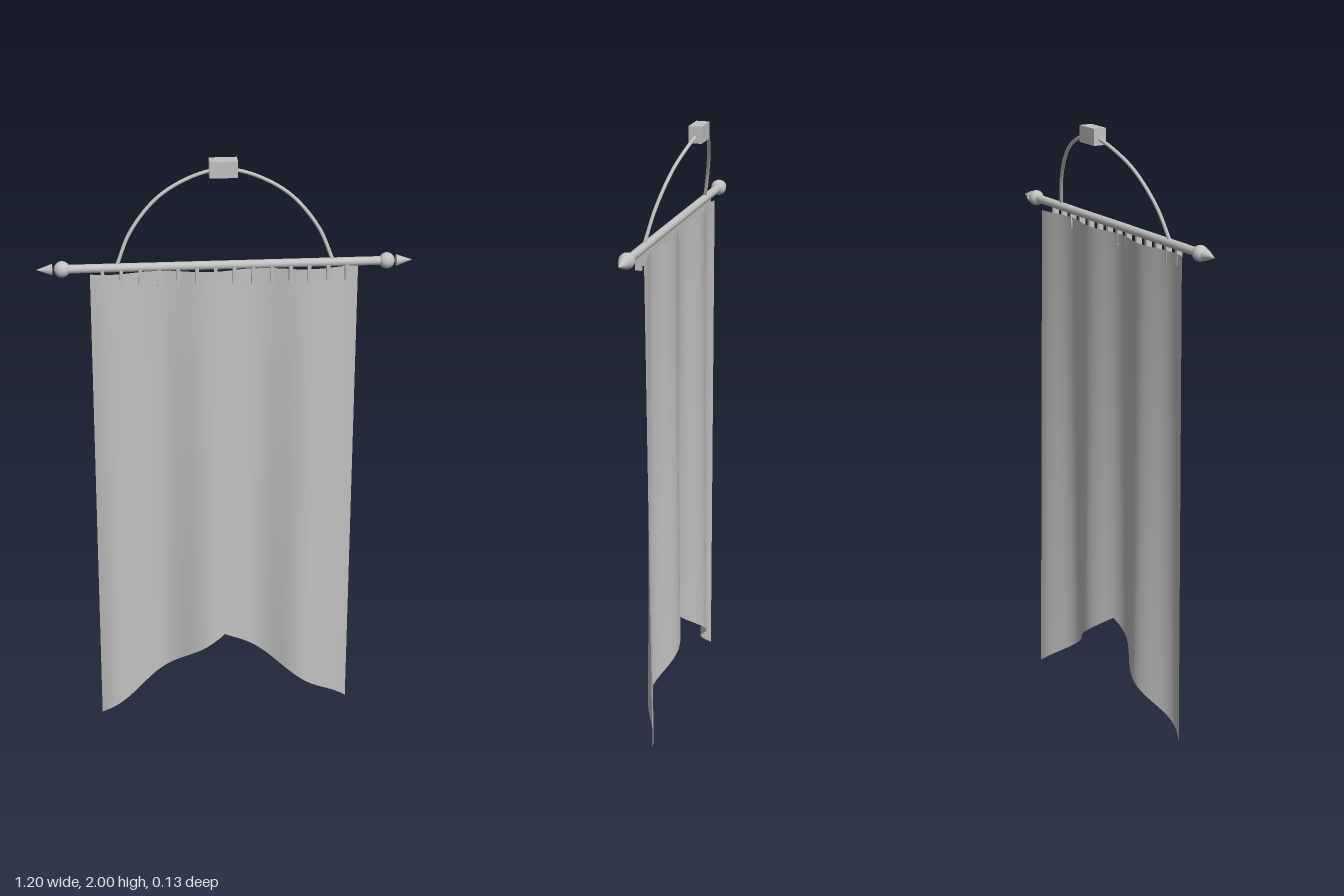
import * as THREE from 'three';

export function createModel() {
  const model = new THREE.Group();
  model.name = 'hangingBanner';
  const metal = new THREE.MeshStandardMaterial({ color: 0xc2c2c2 });
  metal.name = 'light grey';
  const fabric = metal.clone();
  fabric.name = 'grey fabric';
  fabric.side = THREE.DoubleSide;

  const add = (name, geometry, x, y, z, material = metal) => {
    const mesh = new THREE.Mesh(geometry, material);
    mesh.name = name;
    mesh.position.set(x, y, z);
    model.add(mesh);
    return mesh;
  };
  const rodY = 1.675, rodZ = 0.035;

  // Horizontal rod with a ball and a spike at each end
  add('rod', new THREE.CylinderGeometry(0.014, 0.014, 1.02, 16), 0, rodY, rodZ).rotation.z = Math.PI / 2;
  for (const side of [-1, 1]) {
    add('finialBall', new THREE.SphereGeometry(0.026, 20, 14), side * 0.518, rodY, rodZ);
    add('finialSpike', new THREE.ConeGeometry(0.019, 0.052, 16), side * 0.574, rodY, rodZ)
      .rotation.z = -side * Math.PI / 2;
  }

  // Hanging cord, arched up and back to the wall block
  const half = [[0.345, 1.68, 0.035], [0.3, 1.785, 0.012], [0.215, 1.885, -0.015], [0.12, 1.94, -0.034], [0.03, 1.966, -0.043]];
  const path = [...half.map(([x, y, z]) => [-x, y, z]), ...[...half].reverse()]
    .map((p) => new THREE.Vector3(...p));
  add('cord', new THREE.TubeGeometry(new THREE.CatmullRomCurve3(path), 64, 0.006, 8), 0, 0, 0);
  add('hangerBlock', new THREE.BoxGeometry(0.09, 0.055, 0.044), 0, 1.9725, -0.043);

  // Fabric with a notched hem and folds that deepen downwards
  const cloth = new THREE.PlaneGeometry(0.86, 1, 64, 32);
  const pos = cloth.attributes.position;
  for (let i = 0; i < pos.count; i++) {
    const x = pos.getX(i);
    const hem = 0.3 * (1 - Math.abs(x) / 0.43);
    const y = THREE.MathUtils.lerp(hem, 1.65, pos.getY(i) + 0.5);
    const depth = THREE.MathUtils.lerp(0.031, 0.012, y / 1.65);
    pos.setXYZ(i, x, y, 0.02 - depth * Math.cos((x - 0.11) * 2 * Math.PI / 0.32));
  }
  cloth.computeVertexNormals();
  add('cloth', cloth, 0, 0, 0, fabric);

  // Small straps tying the cloth to the rod
  for (let i = 0; i < 14; i++) {
    add('strap', new THREE.BoxGeometry(0.011, 0.065, 0.02), -0.39 + i * 0.06, 1.645, 0.038);
  }
  return model;
}
